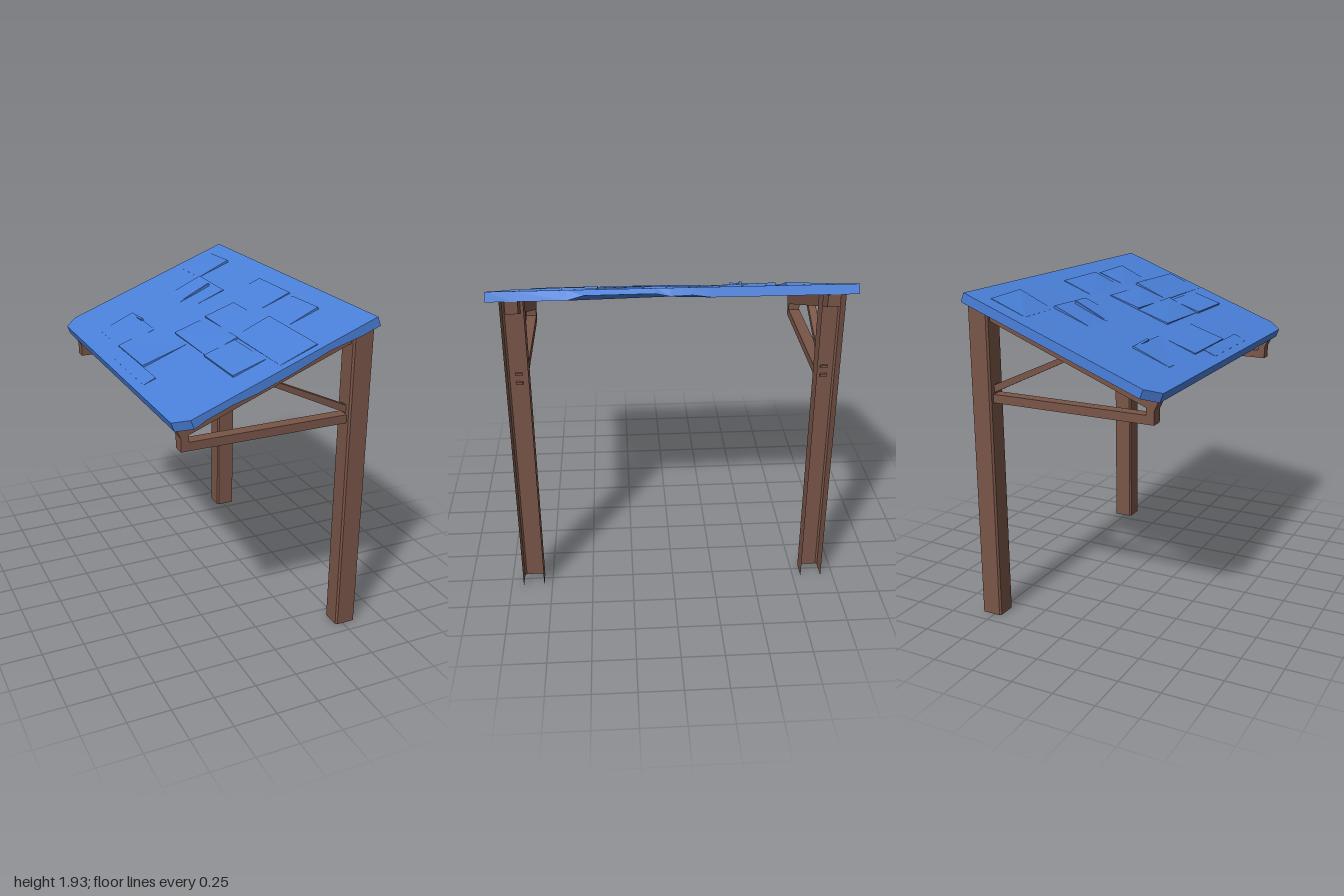
import * as THREE from 'three';

const SLOPE = 0.384;
const under = (x) => 1.841 + SLOPE * (x - 0.455); // height of the roof underside
const brown = new THREE.MeshStandardMaterial({ color: 0x795548, flatShading: true, side: THREE.DoubleSide });
const blue = new THREE.MeshStandardMaterial({ color: 0x4a80d9, flatShading: true, side: THREE.DoubleSide });

function mesh(name, geometry, material) {
  const m = new THREE.Mesh(geometry, material);
  m.name = name;
  return m;
}

function fromTriangles(points) {
  const g = new THREE.BufferGeometry();
  g.setAttribute('position', new THREE.Float32BufferAttribute(points.flat(), 3));
  g.computeVertexNormals();
  return g;
}

// flat outline in x, y given a width in z, centred on z = 0
function plate(outline, width) {
  const shape = new THREE.Shape(outline.map(([x, y]) => new THREE.Vector2(x, y)));
  return new THREE.ExtrudeGeometry(shape, { depth: width, bevelEnabled: false }).translate(0, 0, -width / 2);
}

// sheet channel, open towards +x and at the bottom, cut to the roof slope
function channelPost() {
  const path = [[0.575, -0.0625], [0.465, -0.0625], [0.455, -0.0525], [0.455, 0.0525], [0.465, 0.0625], [0.575, 0.0625]];
  const tris = [];
  for (let i = 0; i < path.length - 1; i++) {
    const [[x0, z0], [x1, z1]] = [path[i], path[i + 1]];
    const a = [x0, 0, z0], b = [x1, 0, z1], c = [x1, under(x1), z1], d = [x0, under(x0), z0];
    tris.push(a, b, c, a, c, d);
  }
  return fromTriangles(tris);
}

function supportFrame() {
  const g = new THREE.Group();
  g.add(mesh('post', channelPost(), brown));
  // sloping rafter with its bracket at the low end
  g.add(mesh('rafter', plate([
    [-0.565, 1.45], [-0.535, 1.385], [-0.535, 1.31], [-0.49, 1.31], [-0.49, 1.4],
    [0.57, 1.815], [0.57, under(0.57)],
  ], 0.07), brown));
  g.add(mesh('tieBeam', plate([[-0.49, 1.31], [0.456, 1.31], [0.456, 1.36], [-0.49, 1.36]], 0.07), brown));
  g.add(mesh('brace', plate([[-0.03, 1.6], [0.456, 1.366], [0.456, 1.41], [0.02, 1.61]], 0.045), brown));
  // small tabs that pass through the post
  for (const y of [1.352, 1.407]) {
    const tab = mesh('tab', new THREE.BoxGeometry(0.02, 0.015, 0.04), brown);
    tab.position.set(0.46, y, 0);
    g.add(tab);
  }
  return g;
}

// roof slab: [u along slope, z, lift of lower edge, outward bulge]
function roofSlab() {
  const T = 0.055;
  const rim = [
    [0.613, -1, 0, 0], [0.613, -0.2, 0, 0], [0.613, -0.1, 0.014, 0.003], [0.613, 0.02, 0.01, 0.018],
    [0.613, 0.1, 0.026, 0.018], [0.613, 0.48, 0.024, 0.022], [0.613, 0.57, 0, 0.025], [0.613, 0.85, 0, 0.004],
    [0.613, 1, 0, 0], [0.5, 1, 0, 0], [0.3, 1, 0.016, 0], [0.08, 1, 0.004, 0], [-0.15, 1, 0.002, 0],
    [-0.3, 1, 0.014, 0], [-0.45, 1, 0.012, 0], [-0.53, 1, 0, 0], [-0.613, 0.925, 0, 0],
    [-0.613, -0.925, 0, 0], [-0.53, -1, 0, 0],
  ];
  const top = rim.map(([u, z]) => [u, 0, z]);
  const low = rim.map(([u, z, lift, out]) => [u + out, lift - T, z]);
  const tris = [];
  rim.forEach((_, i) => {
    const j = (i + 1) % rim.length;
    tris.push([0, 0.002, 0], top[j], top[i], [0, -T, 0], low[i], low[j]);
    tris.push(top[i], top[j], low[i], top[j], low[j], low[i]);
  });
  return fromTriangles(tris);
}

// warped tile on the slab, h = heights of its corners
function warpedTile([u0, u1, z0, z1, h]) {
  const base = [[u0, 0, z0], [u1, 0, z0], [u1, 0, z1], [u0, 0, z1]];
  const top = base.map(([u, , z], i) => [u, h[i], z]);
  const tris = [top[0], top[2], top[1], top[0], top[3], top[2]];
  for (let i = 0; i < 4; i++) {
    const j = (i + 1) % 4;
    tris.push(top[i], top[j], base[i], top[j], base[j], base[i]);
  }
  return fromTriangles(tris);
}

function roof() {
  const g = new THREE.Group();
  g.name = 'roof';
  g.add(mesh('roofSlab', roofSlab(), blue));
  const tiles = [
    [0.27, 0.5, -0.9, -0.62, [0.001, 0.004, 0.016, 0.001]],
    [0.03, 0.275, -0.6, -0.24, [0.001, 0.016, 0.006, 0.001]],
    [-0.48, -0.24, -0.58, -0.2, [0.001, 0.012, 0.004, 0.001]],
    [-0.48, -0.18, -0.23, 0.2, [0.008, 0.001, 0.001, 0.014]],
    [-0.18, 0.03, 0.0, 0.45, [0.012, 0.004, 0.012, 0.003]],
    [0.03, 0.23, 0.0, 0.41, [0.014, 0.006, 0.003, 0.005]],
    [-0.19, 0.01, 0.45, 0.82, [0.014, 0.005, 0.003, 0.012]],
    [0.03, 0.262, 0.41, 0.95, [0.005, 0.016, 0.006, 0.001]],
    [0.28, 0.49, -0.14, 0.25, [0.001, 0.006, 0.009, 0.001]],
    [0.28, 0.48, 0.3, 0.6, [0.001, 0.004, 0.014, 0.001]],
    [-0.56, -0.48, -0.1, 0.4, [0.001, 0.004, 0.006, 0.001]],
    // small curled splinters
    [0.03, 0.25, -0.41, -0.395, [0.002, 0.024, 0.024, 0.002]],
    [-0.25, -0.235, -0.58, -0.4, [0.002, 0.002, 0.02, 0.02]],
  ];
  for (const t of tiles) g.add(mesh('roofTile', warpedTile(t), blue));
  g.position.set(-0.0275, 1.715, 0);
  g.rotation.z = Math.atan(SLOPE);
  return g;
}

export function createModel() {
  const model = new THREE.Group();
  model.name = 'shelter';
  for (const [name, z] of [['frontFrame', 0.8625], ['backFrame', -0.8625]]) {
    const frame = supportFrame();
    frame.name = name;
    frame.position.z = z;
    model.add(frame);
  }
  model.add(roof());
  return model;
}
